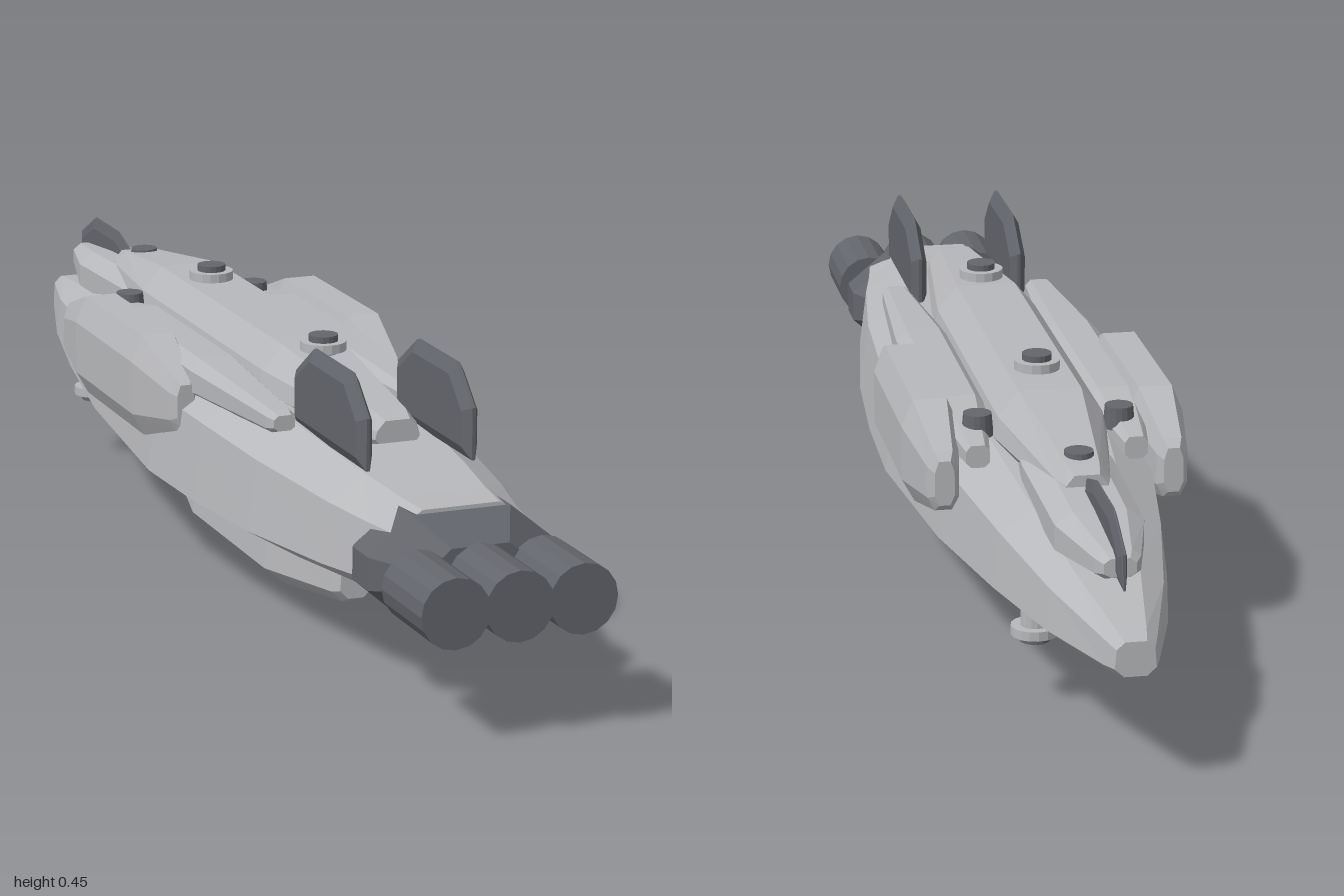
import * as THREE from 'three';

const hullGrey = new THREE.MeshStandardMaterial({ color: 0xb7b8bb, flatShading: true });
hullGrey.name = 'hullGrey';
const engineGrey = new THREE.MeshStandardMaterial({ color: 0x63656c, flatShading: true });
engineGrey.name = 'engineGrey';

// Right half of a profile, bottom to top: [share of half width, share of height]
const HULL = [[0.55, 0], [1, 0.24], [0.92, 0.78], [0.53, 1]];
const DECK = [[0.85, 0], [1, 0.2], [0.92, 0.56], [0.55, 1]];
const POD = [[0.55, 0], [1, 0.22], [1, 0.74], [0.6, 1]];
const KEEL = [[0.5, 0], [1, 0.27], [0.93, 0.9], [0.65, 1]];
const BLOCK = [[0.53, 0], [1, 0.36], [1, 0.66], [0.53, 1]];

// Closed loft through stations [z, half width, bottom, top], ordered by rising z
function loft(half, stations, cx = 0) {
  const profile = [...half, ...half.map(([x, y]) => [-x, y]).reverse()];
  const rings = stations.map(([z, w, b, t]) =>
    profile.map(([x, y]) => [cx + x * w, b + y * (t - b), z]));
  const n = profile.length;
  const pos = [];
  const tri = (a, b, c) => pos.push(...a, ...b, ...c);
  for (let i = 0; i < rings.length - 1; i++) {
    for (let j = 0; j < n; j++) {
      const k = (j + 1) % n;
      const [a, b, c, d] = [rings[i][j], rings[i][k], rings[i + 1][k], rings[i + 1][j]];
      tri(a, b, c);
      tri(a, c, d);
    }
  }
  const first = rings[0];
  const last = rings[rings.length - 1];
  for (let j = 1; j < n - 1; j++) {
    tri(first[0], first[j + 1], first[j]);
    tri(last[0], last[j], last[j + 1]);
  }
  const geo = new THREE.BufferGeometry();
  geo.setAttribute('position', new THREE.Float32BufferAttribute(pos, 3));
  geo.computeVertexNormals();
  return geo;
}

// Thin upright plate with chamfered rim, outline given as [z, y]
function fin(outline, thickness, cx) {
  const bevel = thickness * 0.4;
  const geo = new THREE.ExtrudeGeometry(
    new THREE.Shape(outline.map(([z, y]) => new THREE.Vector2(z, y))),
    { depth: thickness - 2 * bevel, bevelThickness: bevel, bevelSize: 0.018, bevelOffset: -0.018, bevelSegments: 1 });
  geo.translate(0, 0, -(thickness / 2 - bevel));
  geo.rotateY(-Math.PI / 2);
  geo.translate(cx, 0, 0);
  return geo;
}

export function createModel() {
  const model = new THREE.Group();
  model.name = 'spaceship';
  const add = (name, geo, mat, parent = model) => {
    const mesh = new THREE.Mesh(geo, mat);
    mesh.name = name;
    parent.add(mesh);
    return mesh;
  };

  // Main hull, nose at -z
  add('hull', loft(HULL, [
    [-1, 0.03, 0.183, 0.235], [-0.97, 0.04, 0.176, 0.242], [-0.8, 0.09, 0.155, 0.268],
    [-0.6, 0.132, 0.138, 0.295], [-0.35, 0.172, 0.118, 0.32], [0, 0.2, 0.1, 0.335],
    [0.2, 0.196, 0.105, 0.333], [0.4, 0.182, 0.117, 0.322], [0.62, 0.15, 0.135, 0.306],
    [0.72, 0.128, 0.145, 0.298], [0.79, 0.115, 0.155, 0.296],
  ]), hullGrey);

  // Raised deck and the spine running out over the nose
  add('upperDeck', loft(DECK, [
    [-0.65, 0.034, 0.325, 0.36], [-0.62, 0.044, 0.315, 0.367], [-0.36, 0.088, 0.31, 0.398],
    [0.2, 0.088, 0.31, 0.398], [0.52, 0.046, 0.32, 0.37], [0.55, 0.036, 0.328, 0.362],
  ]), hullGrey);
  add('noseSpine', loft(POD, [
    [-0.89, 0.024, 0.29, 0.318], [-0.87, 0.034, 0.282, 0.325], [-0.74, 0.066, 0.265, 0.338],
    [-0.5, 0.07, 0.27, 0.35], [-0.3, 0.05, 0.29, 0.345],
  ]), hullGrey);

  // Pod under the belly
  add('keelPod', loft(KEEL, [
    [-0.35, 0.024, 0.036, 0.086], [-0.335, 0.033, 0.028, 0.092], [-0.15, 0.071, 0.002, 0.108],
    [0.18, 0.071, 0.002, 0.108], [0.375, 0.035, 0.028, 0.095], [0.39, 0.026, 0.036, 0.088],
  ]), hullGrey);

  // Mirrored side pods, strakes and tail fins
  const finOutline = [[0.36, 0.315], [0.64, 0.315], [0.64, 0.395], [0.58, 0.45], [0.43, 0.45], [0.357, 0.4]];
  for (const [side, s] of [['left', 1], ['right', -1]]) {
    add(side + 'SidePod', loft(POD, [
      [-0.44, 0.015, 0.25, 0.32], [-0.425, 0.024, 0.238, 0.332], [-0.3, 0.044, 0.21, 0.374],
      [-0.02, 0.044, 0.21, 0.374], [0.095, 0.022, 0.245, 0.33], [0.11, 0.014, 0.255, 0.322],
    ], s * 0.176), hullGrey);
    add(side + 'Strake', loft(POD, [
      [-0.42, 0.018, 0.3, 0.335], [-0.25, 0.042, 0.295, 0.36], [0.1, 0.044, 0.295, 0.36],
      [0.38, 0.023, 0.312, 0.347], [0.4, 0.017, 0.318, 0.342],
    ], s * 0.122), hullGrey);
    add(side + 'TailFin', fin(finOutline, 0.026, s * 0.084), engineGrey);
  }
  add('noseFin', fin(
    [[-0.92, 0.28], [-0.65, 0.295], [-0.65, 0.355], [-0.72, 0.376], [-0.84, 0.376], [-0.92, 0.335]], 0.014, 0),
  engineGrey);

  // Small turrets: pale collar with a dark cap; flip = -1 hangs it below
  const turret = (name, x, y, z, r, flip = 1) => {
    const group = new THREE.Group();
    group.name = name;
    group.position.set(x, y, z);
    group.scale.setScalar(r);
    if (flip < 0) group.rotation.x = Math.PI;
    add('stem', new THREE.CylinderGeometry(0.6, 0.6, 1.4, 16).translate(0, -0.7, 0), hullGrey, group);
    add('collar', new THREE.CylinderGeometry(1, 1, 0.4, 16).translate(0, 0.2, 0), hullGrey, group);
    add('cap', new THREE.CylinderGeometry(0.64, 0.64, 0.3, 16).translate(0, 0.53, 0), engineGrey, group);
    model.add(group);
  };
  turret('rearDeckTurret', 0, 0.398, 0.25, 0.036);
  turret('frontDeckTurret', 0, 0.398, -0.25, 0.036);

  // Low dark domes on the bow, and two turrets under the nose
  const dome = (name, x, y, z) => add(name,
    new THREE.CylinderGeometry(0.022, 0.025, 0.035, 16).translate(x, y - 0.0175, z), engineGrey);
  dome('noseDome', 0, 0.377, -0.585);
  for (const [side, s] of [['left', 1], ['right', -1]]) {
    dome(side + 'ShoulderDome', s * 0.11, 0.363, -0.345);
    turret(side + 'BellyTurret', s * 0.075, 0.127, -0.635, 0.036, -1);
  }

  // Engine block and its three overlapping nozzles
  add('engineBlock', loft(BLOCK, [
    [0.7, 0.125, 0.14, 0.278], [0.73, 0.145, 0.124, 0.29], [0.79, 0.145, 0.124, 0.29],
    [0.86, 0.085, 0.158, 0.256],
  ]), engineGrey);
  for (const x of [-0.098, 0, 0.098]) {
    add('engineNozzle', new THREE.CylinderGeometry(0.053, 0.053, 0.145, 16)
      .rotateX(Math.PI / 2).translate(x, 0.207, 0.9275), engineGrey);
  }
  return model;
}
